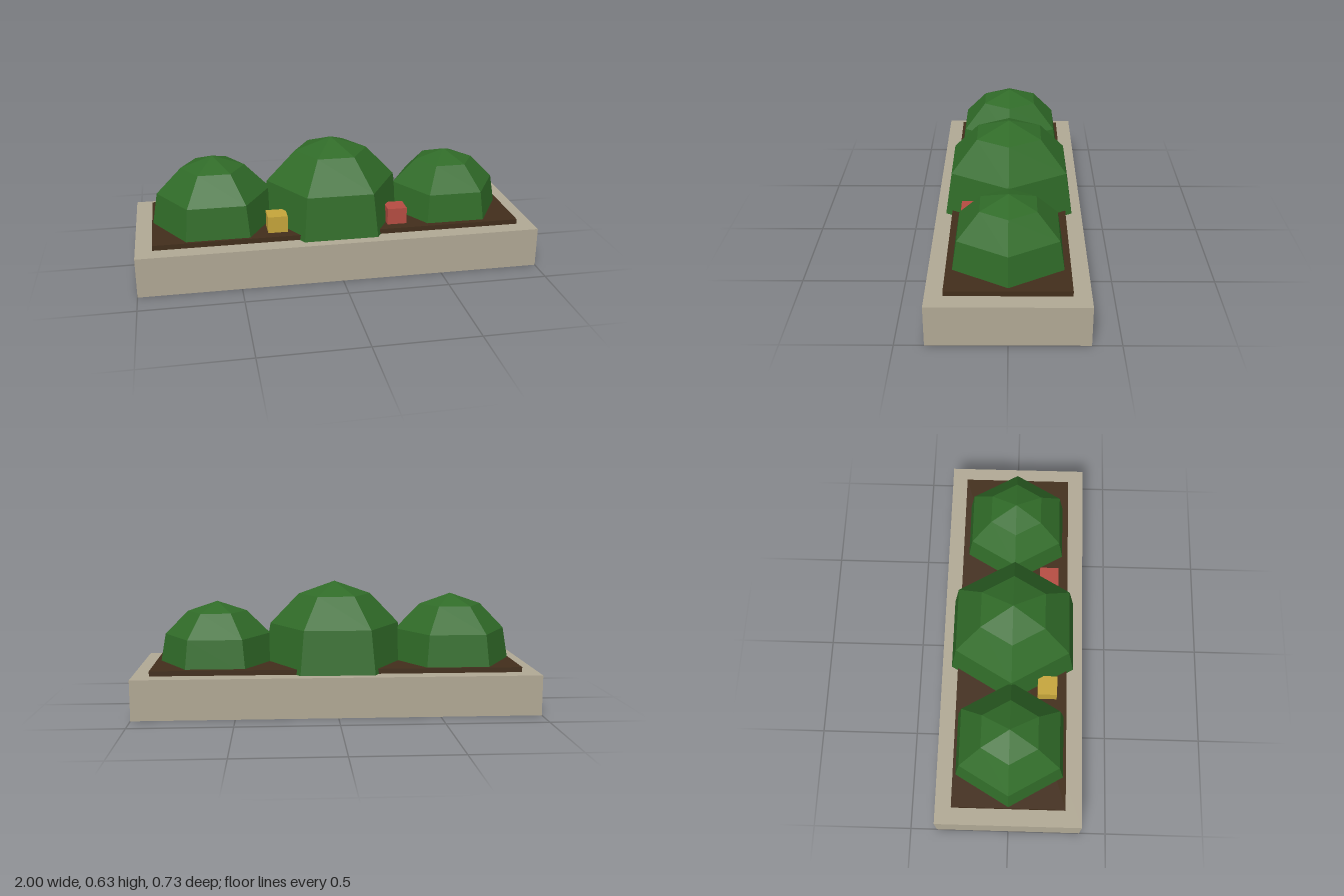
import * as THREE from 'three';

const paint = (name, color, extra = {}) => {
  const m = new THREE.MeshStandardMaterial({ color, ...extra });
  m.name = name;
  return m;
};

export function createModel() {
  const stone = paint('stone', 0xb0a894, { side: THREE.DoubleSide });
  const soil = paint('soil', 0x422e1b);
  const leaf = paint('leaf green', 0x306b28, { flatShading: true });
  const yellow = paint('yellow bloom', 0xc4a43a);
  const red = paint('red bloom', 0xb54c42);

  const group = new THREE.Group();
  group.name = 'planter';
  const add = (name, geometry, material, x, y, z) => {
    const mesh = new THREE.Mesh(geometry, material);
    mesh.name = name;
    mesh.position.set(x, y, z);
    group.add(mesh);
  };

  // Stone trough: a box whose underside is open
  const trough = new THREE.BoxGeometry(2, 0.2, 0.732);
  const index = Array.from(trough.index.array);
  index.splice(18, 6);
  trough.setIndex(index);
  trough.clearGroups();
  add('trough', trough, stone, 0, 0.1, 0);

  // Soil bed lying on the trough
  add('soilBed', new THREE.BoxGeometry(1.834, 0.025, 0.568), soil, 0, 0.2135, 0);

  // Six-sided domed bushes: base, shoulder, crown, tip
  const bush = (name, x, rScale, hScale) => {
    const profile = [[0.367, 0], [0.33, 0.216], [0.184, 0.368], [0, 0.433]]
      .map(([r, y]) => new THREE.Vector2(r * rScale, y * hScale));
    add(name, new THREE.LatheGeometry(profile, 6, Math.PI / 6), leaf, x, 0.2005, 0);
  };
  bush('middleBush', 0, 1, 1);
  bush('rightBush', -0.6, 0.86, 0.847);
  bush('leftBush', 0.6, 0.81, 0.77);

  // Blossom cubes between the bushes, resting just inside the soil
  const cube = new THREE.BoxGeometry(0.098, 0.098, 0.098);
  add('yellowBloom', cube, yellow, -0.304, 0.26, 0.183);
  add('redBloom', cube, red, 0.3, 0.26, 0.183);

  return group;
}
